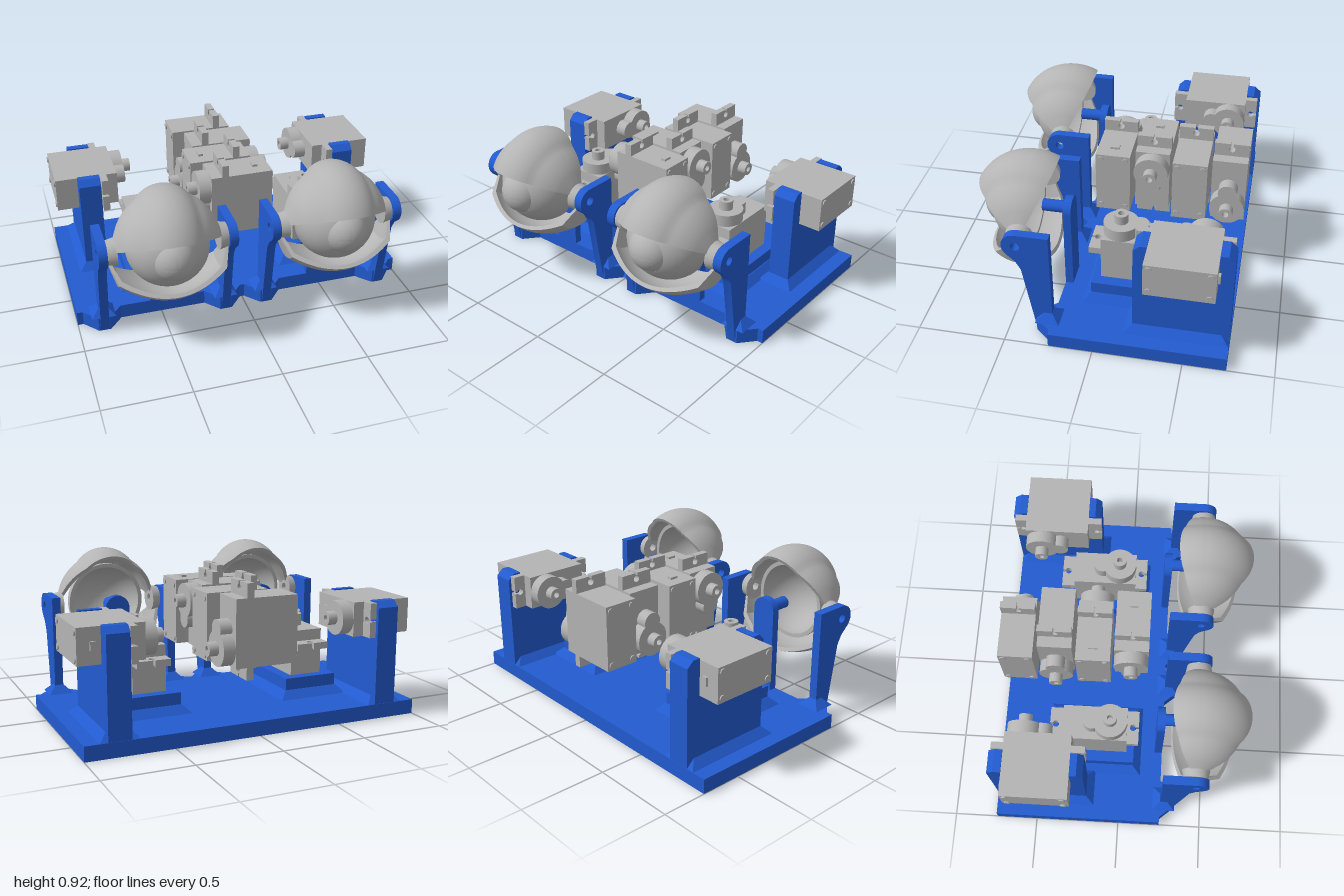
import * as THREE from 'three';
import { toCreasedNormals } from 'three/addons/utils/BufferGeometryUtils.js';

const blue = new THREE.MeshStandardMaterial({ color: 0x225bd0 });
blue.name = 'blue plastic';
const grey = new THREE.MeshStandardMaterial({ color: 0xb4b4b4, side: THREE.DoubleSide });
grey.name = 'light grey';

const EYE_Y = 0.585, EYE_Z = 0.435;

function add(parent, name, geometry, material, x = 0, y = 0, z = 0) {
  const m = new THREE.Mesh(geometry, material);
  m.name = name;
  m.position.set(x, y, z);
  parent.add(m);
  return m;
}

// box given by its limits; the top can be inset to make a sloped skirt
function block(parent, name, material, [x0, x1], [y0, y1], [z0, z1], inset = 0) {
  let g = new THREE.BoxGeometry(x1 - x0, y1 - y0, z1 - z0);
  if (inset) {
    const p = g.attributes.position;
    for (let i = 0; i < p.count; i++) {
      if (p.getY(i) < 0) continue;
      p.setX(i, p.getX(i) - Math.sign(p.getX(i)) * inset);
      p.setZ(i, p.getZ(i) - Math.sign(p.getZ(i)) * inset);
    }
    g = g.toNonIndexed();
    g.computeVertexNormals();
  }
  return add(parent, name, g, material, (x0 + x1) / 2, (y0 + y1) / 2, (z0 + z1) / 2);
}

// extrude a (z, y) side profile across x, centred on x = 0
function sidePlate(shape, width) {
  const g = new THREE.ExtrudeGeometry(shape, { depth: width, bevelEnabled: false, curveSegments: 16 });
  g.translate(0, 0, -width / 2);
  g.rotateY(-Math.PI / 2);
  return toCreasedNormals(g, 0.6);
}

const polygon = (pts) => new THREE.Shape(pts.map(([a, b]) => new THREE.Vector2(a, b)));

// servo: output shaft on local +y at the origin, body running toward -z
function createServo(name) {
  const s = new THREE.Group();
  s.name = name;
  block(s, 'servoBody', grey, [-0.1, 0.1], [0, 0.37], [-0.28, 0.1]);
  block(s, 'cableNub', grey, [-0.025, 0.025], [0.07, 0.1], [0.1, 0.113]);

  // mounting ears with keyhole slots at both ends
  const ear = new THREE.Shape();
  const slot = (end, d) => {
    ear.lineTo(d * 0.007, end);
    const c = end - d * 0.035, a = Math.PI / 2 * d;
    ear.absarc(0, c, 0.019, a - 0.37, a + 0.37, true);
    ear.lineTo(-d * 0.007, end);
    ear.lineTo(-d * 0.1, end);
  };
  ear.moveTo(0.1, 0.17);
  slot(0.17, 1);
  ear.lineTo(-0.1, -0.36);
  slot(-0.36, -1);
  ear.closePath();
  const earG = new THREE.ExtrudeGeometry(ear, { depth: 0.04, bevelEnabled: false });
  earG.rotateX(Math.PI / 2);
  earG.scale(1, 1, 1);
  add(s, 'mountingEars', earG, grey, 0, 0.305, 0);

  // gear housing, splined shaft and its centre screw hole
  add(s, 'gearHousing', new THREE.CylinderGeometry(0.1, 0.1, 0.07, 32), grey, 0, 0.405, 0);
  add(s, 'idlerHousing', new THREE.CylinderGeometry(0.055, 0.055, 0.07, 24), grey, 0, 0.405, -0.105);
  const tube = new THREE.LatheGeometry([[0.018, 0.44], [0.04, 0.44], [0.04, 0.495], [0.018, 0.495], [0.018, 0.44]]
    .map(([r, y]) => new THREE.Vector2(r, y)), 20);
  add(s, 'outputShaft', toCreasedNormals(tube, 0.6), grey);
  for (const x of [-0.072, 0.072]) for (const z of [-0.25, 0.07])
    add(s, 'caseScrew', new THREE.CylinderGeometry(0.018, 0.018, 0.008, 12), grey, x, -0.003, z);
  return s;
}

// place a servo with the given shaft direction and short-end direction
function placeServo(root, name, pos, shaftDir, endDir) {
  const s = createServo(name);
  const Y = new THREE.Vector3(...shaftDir), Z = new THREE.Vector3(...endDir);
  const X = new THREE.Vector3().crossVectors(Y, Z);
  s.quaternion.setFromRotationMatrix(new THREE.Matrix4().makeBasis(X, Y, Z));
  s.position.set(...pos);
  root.add(s);
}

// eyelid: shell turned about the x axis between two angles (from +z toward +y)
function createLid(name, radiusAt, span, tip, from, to) {
  const g = new THREE.Group();
  g.name = name;
  const outer = [], inner = [];
  outer.push([tip[0], -tip[1]]);
  inner.push([tip[0] - 0.02, -tip[1] + 0.01]);
  for (let i = 0; i <= 32; i++) {
    const x = -span + 2 * span * i / 32, r = radiusAt(x);
    outer.push([r, x]);
    inner.push([r - 0.022, x * 0.94]);
  }
  outer.push([tip[0], tip[1]]);
  inner.push([tip[0] - 0.02, tip[1] - 0.01]);
  const loop = [...outer, ...inner.reverse()];
  const pts = [...loop, loop[0]].map(([r, x]) => new THREE.Vector2(r, x));
  const start = -to, length = to - from;
  const shell = toCreasedNormals(new THREE.LatheGeometry(pts, 28, start, length), 0.5);
  shell.rotateZ(-Math.PI / 2);
  add(g, 'lidShell', shell, grey);
  for (const phi of [start, start + length]) {
    const cap = new THREE.ShapeGeometry(polygon(loop));
    cap.rotateY(phi - Math.PI / 2);
    cap.rotateZ(-Math.PI / 2);
    add(g, 'lidEdge', cap, grey);
  }
  return g;
}

function createEye(side) {
  const eye = new THREE.Group();
  eye.name = side > 0 ? 'leftEye' : 'rightEye';
  const rad = THREE.MathUtils.degToRad;

  // hollow eyeball with a bulging cornea
  const pts = [];
  for (let i = 0; i <= 24; i++) {
    const a = rad(92 - i * (92 - 29.5) / 24);
    pts.push(new THREE.Vector2(0.235 * Math.sin(a), 0.235 * Math.cos(a)));
  }
  for (let i = 0; i <= 12; i++) {
    const a = rad(62.8) * (1 - i / 12);
    pts.push(new THREE.Vector2(0.13 * Math.sin(a), 0.145 + 0.13 * Math.cos(a)));
  }
  for (let i = 0; i <= 24; i++) {
    const a = rad(92 * i / 24);
    pts.push(new THREE.Vector2(0.212 * Math.sin(a), 0.212 * Math.cos(a)));
  }
  pts.push(pts[0].clone());
  const ball = toCreasedNormals(new THREE.LatheGeometry(pts, 48), 0.4);
  ball.rotateX(Math.PI / 2);
  add(eye, 'eyeball', ball, grey);

  const upper = (x) => Math.max(Math.sqrt(0.09 - x * x), 0.145 + Math.sqrt(Math.max(0, 0.0361 - x * x)) - (Math.abs(x) > 0.19 ? 1 : 0));
  const lower = (x) => 0.31 - 1.3 * x * x;
  eye.add(createLid('upperLid', upper, 0.265, [0.06, 0.3], rad(28), rad(117)));
  eye.add(createLid('lowerLid', lower, 0.3, [0.075, 0.335], rad(-117), rad(-42)));

  // pivot hubs
  for (const d of [-1, 1]) {
    const ring = new THREE.LatheGeometry([[0.025, -0.025], [0.08, -0.025], [0.07, 0.025], [0.025, 0.025], [0.025, -0.025]]
      .map(([r, y]) => new THREE.Vector2(r, y)), 28);
    ring.rotateZ(-d * Math.PI / 2);
    add(eye, 'lidHub', toCreasedNormals(ring, 0.6), grey, d * 0.312, 0, 0);
  }
  eye.position.set(side * 0.49, EYE_Y, EYE_Z);
  return eye;
}

// pivot arm with flared foot
function createArm(x) {
  const g = new THREE.Group();
  g.name = 'pivotArm';
  const s = polygon([[0.25, 0], [0.34, 0], [0.41, 0.43], [0.44, 0.485], [0.485, 0.525]]);
  s.absarc(EYE_Z, EYE_Y, 0.077, -0.7, Math.PI / 2, false);
  s.lineTo(0.25, 0.662);
  s.closePath();
  const hole = new THREE.Path();
  hole.absarc(EYE_Z, EYE_Y, 0.025, 0, Math.PI * 2, true);
  s.holes.push(hole);
  add(g, 'armPlate', sidePlate(s, 0.05), blue);
  const foot = new THREE.ExtrudeGeometry(polygon([[-0.12, -0.24], [-0.035, -0.34], [0.035, -0.34], [0.12, -0.24]]),
    { depth: 0.085, bevelEnabled: false });
  foot.rotateX(-Math.PI / 2);
  add(g, 'armFoot', foot, blue);
  block(g, 'armSkirt', blue, [-0.07, 0.07], [0.085, 0.13], [0.205, 0.34], 0.045);
  g.position.x = x;
  return g;
}

export function createModel() {
  const root = new THREE.Group();
  root.name = 'animatronicEyes';
  block(root, 'basePlate', blue, [-1, 1], [0, 0.085], [-0.74, 0.25]);

  for (const side of [-1, 1]) {
    const cx = side * 0.5;
    root.add(createEye(side), createArm(side * 0.855), createArm(side * 0.125));

    // eye support post with rounded top and short rod
    const post = new THREE.Shape();
    post.moveTo(-0.075, 0.08);
    post.lineTo(0.075, 0.08);
    post.absarc(0, 0.58, 0.075, 0, Math.PI, false);
    add(root, 'eyePost', toCreasedNormals(new THREE.ExtrudeGeometry(post, { depth: 0.045, bevelEnabled: false }), 0.5), blue, side * 0.49, 0, 0.205);
    const rod = new THREE.CylinderGeometry(0.035, 0.035, 0.14, 20);
    rod.rotateX(Math.PI / 2);
    add(root, 'eyeRod', rod, blue, side * 0.49, EYE_Y, 0.31);

    // upright servo on its stepped platform
    block(root, 'platformSkirt', blue, [cx - 0.215, cx + 0.215], [0.085, 0.13], [-0.46, 0.12], 0.045);
    block(root, 'platform', blue, [cx - 0.165, cx + 0.165], [0.085, 0.2], [-0.41, 0.075]);
    placeServo(root, 'uprightServo', [cx, 0.1, -0.07], [0, 1, 0], [0, 0, 1]);

    // side bracket cradling a horizontal servo
    const u = polygon([[-0.738, 0.08], [-0.2, 0.08], [-0.2, 0.65], [-0.235, 0.685], [-0.275, 0.685], [-0.275, 0.475],
      [-0.655, 0.475], [-0.655, 0.685], [-0.7, 0.685], [-0.738, 0.65]]);
    add(root, 'sideBracket', sidePlate(u, 0.13), blue, side * 0.805);
    block(root, 'bracketSkirt', blue, [side * 0.805 - 0.11, side * 0.805 + 0.11], [0.085, 0.13], [-0.738, -0.155], 0.045);
    placeServo(root, 'sideServo', [side, 0.578, -0.555], [-side, 0, 0], [0, 0, -1]);
  }

  // central stack of four servos facing alternate ways
  [0.035, -0.185, -0.41, -0.63].forEach((z, i) => {
    const dir = i % 2 ? 1 : -1, high = i < 2;
    placeServo(root, 'centreServo', [-dir * 0.22, high ? 0.675 : 0.49, z], [dir, 0, 0], [0, high ? 1 : -1, 0]);
  });
  return root;
}
